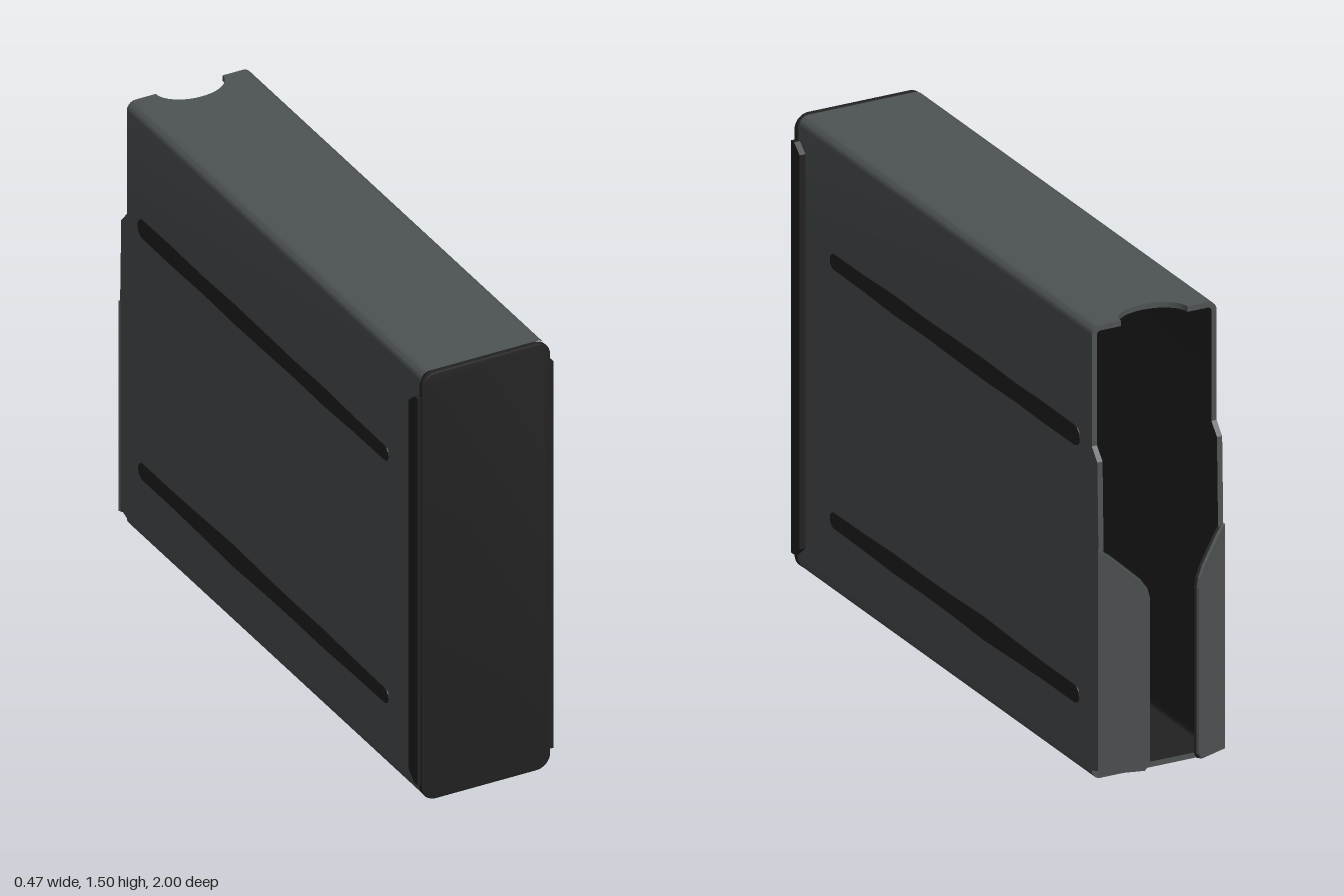
import * as THREE from 'three';
import { toCreasedNormals } from 'three/addons/utils/BufferGeometryUtils.js';

const steel = new THREE.MeshStandardMaterial({ color: 0x4e5354 });
steel.name = 'grey steel';
const black = new THREE.MeshStandardMaterial({ color: 0x222222 });
black.name = 'matt black';

const W = 0.215, BOTTOM = 0.005, TOP = 1.493, R = 0.03, WALL = 0.018;
const FRONT = 0.98, BACK = -0.87;

function addMesh(group, name, geometry, material) {
  const mesh = new THREE.Mesh(geometry, material);
  mesh.name = name;
  group.add(mesh);
  return mesh;
}

function polygon(points) {
  return new THREE.Shape(points.map(([x, y]) => new THREE.Vector2(x, y)));
}

// Extrudes a (z, y) outline sideways between x0 and x0 - depth
function sidePlate(shape, x0, depth) {
  const g = new THREE.ExtrudeGeometry(shape, { depth, bevelEnabled: false, curveSegments: 8 });
  return g.rotateY(-Math.PI / 2).translate(x0, 0, 0);
}

// Cross-section of the box, counter-clockwise, each point with its normal and rear edge
function crossSection() {
  const pts = [];
  const side = [[0.05, -0.918], [0.4, -0.918], [0.77, -0.912], [1.06, -0.905], [1.1, BACK]];
  const add = (x, y, nx, ny, back = BACK) => pts.push({ x, y, nx, ny, back });
  const corner = (cx, cy, start) => {
    for (let i = 0; i <= 5; i++) {
      const a = start + (i / 5) * Math.PI / 2, c = Math.cos(a), s = Math.sin(a);
      add(cx + R * c, cy + R * s, c, s);
    }
  };
  const cx = W - R, lo = BOTTOM + R, hi = TOP - R;
  corner(cx, lo, -Math.PI / 2);
  side.forEach(([y, b]) => add(W, y, 1, 0, b));
  corner(cx, hi, 0);
  // thumb notch in the top wall
  for (let i = 0; i <= 20; i++) {
    const a = (i / 20) * Math.PI;
    add(0.115 * Math.cos(a), TOP, 0, 1, BACK + 0.08 * Math.sin(a));
  }
  corner(-cx, hi, Math.PI / 2);
  side.slice().reverse().forEach(([y, b]) => add(-W, y, -1, 0, b));
  corner(-cx, lo, Math.PI);
  return pts;
}

function stripGeometry(quads) {
  const pos = [];
  for (const [a, b, c, d] of quads) pos.push(...a, ...b, ...c, ...a, ...c, ...d);
  const g = new THREE.BufferGeometry();
  g.setAttribute('position', new THREE.Float32BufferAttribute(pos, 3));
  g.computeVertexNormals();
  return toCreasedNormals(g, 0.6);
}

function addShell(group) {
  const pts = crossSection(), outer = [], inner = [], rim = [];
  const out = (p, z) => [p.x, p.y, z];
  const inn = (p, z) => [p.x - p.nx * WALL, p.y - p.ny * WALL, z];
  pts.forEach((p, i) => {
    const q = pts[(i + 1) % pts.length];
    outer.push([out(p, FRONT), out(p, p.back), out(q, q.back), out(q, FRONT)]);
    inner.push([inn(p, FRONT), inn(q, FRONT), inn(q, q.back), inn(p, p.back)]);
    rim.push([out(p, p.back), inn(p, p.back), inn(q, q.back), out(q, q.back)]);
  });
  addMesh(group, 'boxShell', stripGeometry(outer), steel);
  addMesh(group, 'boxInterior', stripGeometry(inner), black);
  addMesh(group, 'boxRim', stripGeometry(rim), steel);
}

// Folded lips that partly close the rear opening
function addLip(group, s) {
  const len = Math.hypot(0.13, 0.08);
  const shape = polygon([
    [-0.004, 0.037], [len - 0.015, 0.055], [len, 0.075], [len, 0.62],
    [len - 0.008, 0.65], [len - 0.03, 0.68], [0.03, 0.755], [-0.004, 0.775],
  ].map(([u, y]) => [s * u, y]));
  const along = new THREE.Vector3(-0.13, 0, -0.08 * s).divideScalar(len);
  const up = new THREE.Vector3(0, 1, 0);
  const basis = new THREE.Matrix4().makeBasis(along, up, along.clone().cross(up));
  basis.setPosition(s * W, 0, -0.918);
  const lip = new THREE.Group();
  lip.name = s > 0 ? 'leftRearLip' : 'rightRearLip';
  [['lipOutside', -0.009, steel], ['lipInside', -0.018, black]].forEach(([name, z, mat]) => {
    const g = new THREE.ExtrudeGeometry(shape, { depth: 0.009, bevelEnabled: false });
    addMesh(lip, name, g.translate(0, 0, z).applyMatrix4(basis), mat);
  });
  group.add(lip);
}

// Long dark groove mark with slightly uneven edges and rounded ends
function grooveShape(y, halfHeights) {
  const z0 = 0.755, z1 = -0.765, n = halfHeights.length - 1;
  const at = (i) => z0 + (z1 - z0) * (i / n);
  const pts = halfHeights.map((h, i) => [at(i), y + h]);
  const cap = (z, h, start) => {
    for (let i = 1; i < 6; i++) {
      const a = start - (i / 6) * Math.PI;
      pts.push([z + h * Math.cos(a), y + h * Math.sin(a)]);
    }
  };
  // the outline runs toward the rear along the top, then back along the bottom
  const rear = halfHeights[n], front = halfHeights[0];
  for (let i = 1; i < 6; i++) {
    const a = Math.PI / 2 + (i / 6) * Math.PI;
    pts.push([z1 + rear * Math.cos(a), y + rear * Math.sin(a)]);
  }
  for (let i = n; i >= 0; i--) pts.push([at(i), y - halfHeights[i]]);
  for (let i = 1; i < 6; i++) {
    const a = -Math.PI / 2 + (i / 6) * Math.PI;
    pts.push([z0 + front * Math.cos(a), y + front * Math.sin(a)]);
  }
  return polygon(pts);
}

function addEndPlate(group) {
  const w = 0.222, h = 1.495, r = 0.045, b = 0.004;
  const s = new THREE.Shape();
  const x = w - b, y0 = b, y1 = h - b;
  s.moveTo(-x + r, y0).lineTo(x - r, y0);
  s.absarc(x - r, y0 + r, r, -Math.PI / 2, 0);
  s.absarc(x - r, y1 - r, r, 0, Math.PI / 2);
  s.absarc(-x + r, y1 - r, r, Math.PI / 2, Math.PI);
  s.absarc(-x + r, y0 + r, r, Math.PI, Math.PI * 1.5);
  const g = new THREE.ExtrudeGeometry(s, {
    depth: 0.012, bevelThickness: b, bevelSize: b, bevelSegments: 2, curveSegments: 6,
  });
  addMesh(group, 'endPlate', toCreasedNormals(g.translate(0, 0, 0.984), 0.6), black);
  // side flanges wrapping over the box
  const flange = polygon([[0.994, 0.06], [0.975, 0.06], [0.94, 0.09], [0.94, 1.385], [0.975, 1.415], [0.994, 1.415]]);
  addMesh(group, 'leftFlange', sidePlate(flange, 0.235, 0.025), black);
  addMesh(group, 'rightFlange', sidePlate(flange, -0.21, 0.025), black);
}

export function createModel() {
  const model = new THREE.Group();
  model.name = 'openMetalBox';
  addShell(model);
  addEndPlate(model);
  const grooves = [
    ['upperGroove', 1.1, [0.026, 0.027, 0.033, 0.03, 0.033, 0.035, 0.031, 0.034, 0.033]],
    ['lowerGroove', 0.25, [0.026, 0.028, 0.033, 0.031, 0.033, 0.039, 0.033, 0.029, 0.029]],
  ];
  for (const s of [1, -1]) {
    addLip(model, s);
    for (const [name, y, heights] of grooves) {
      const x0 = s > 0 ? W + 0.003 : -W + 0.001;
      addMesh(model, (s > 0 ? 'left ' : 'right ') + name, sidePlate(grooveShape(y, heights), x0, 0.004), black);
    }
  }
  return model;
}
